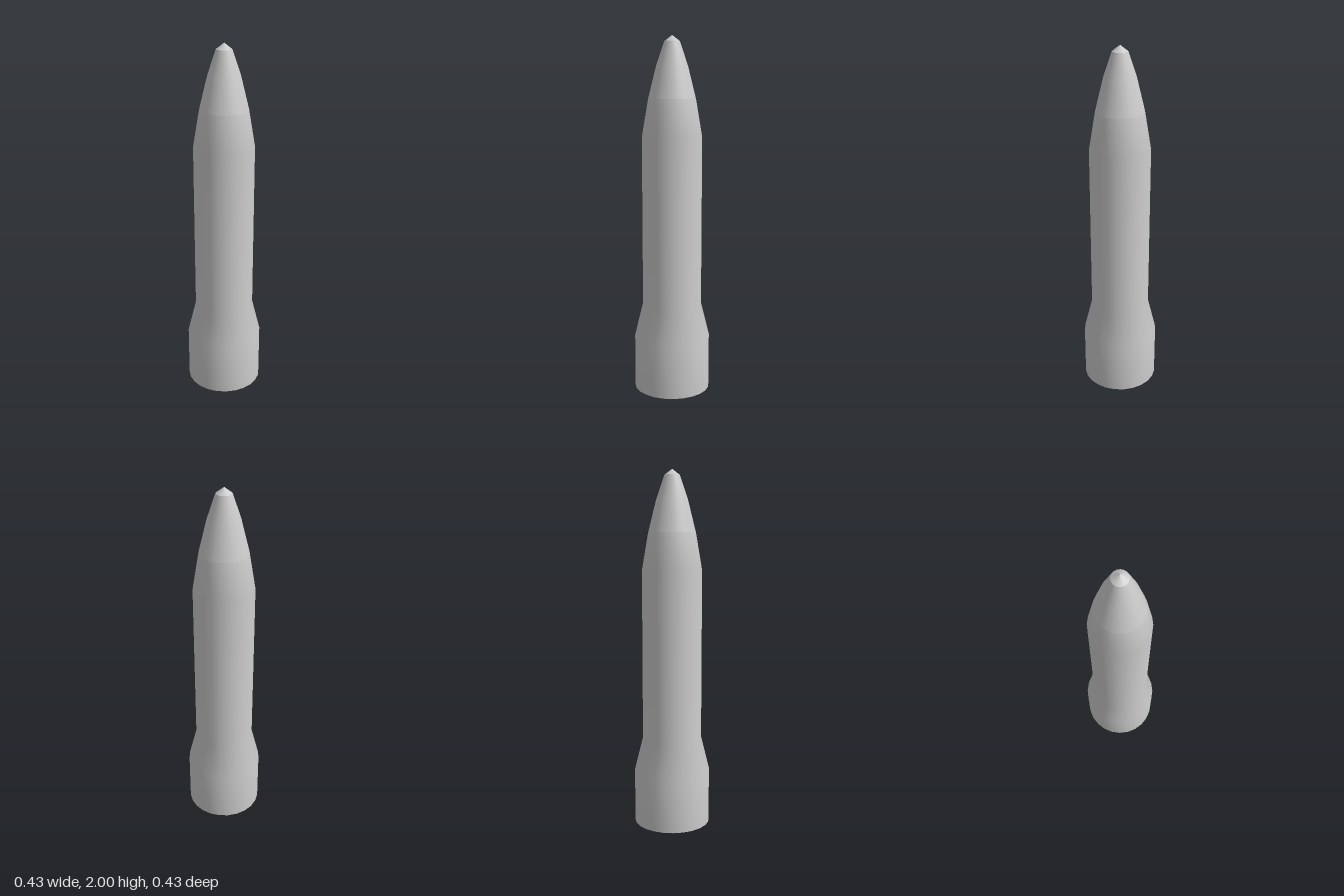
import * as THREE from 'three';

const SIDES = 24;

export function createModel() {
  const model = new THREE.Group();
  const material = new THREE.MeshStandardMaterial({ color: 0xcccccc });

  // Each section is turned separately, so normals break only between sections
  const turned = (name, profile) => {
    const points = profile.map(([r, y]) => new THREE.Vector2(r, y));
    const mesh = new THREE.Mesh(new THREE.LatheGeometry(points, SIDES), material);
    mesh.name = name;
    model.add(mesh);
  };

  // Hollowed underside: small flat ceiling and flared cone down to the rim
  turned('recessCeiling', [[0, 0.1], [0.08, 0.1]]);
  turned('recessCone', [[0.08, 0.1], [0.215, 0]]);

  // Wide base, tapered shoulder, straight body and start of the nose
  turned('body', [[0.215, 0], [0.215, 0.305], [0.168, 0.495], [0.168, 1.45], [0.133, 1.655]]);

  // Curved nose and blunt tip
  turned('nose', [[0.133, 1.655], [0.088, 1.835], [0.043, 1.967]]);
  turned('tip', [[0.043, 1.967], [0, 2]]);

  return model;
}
